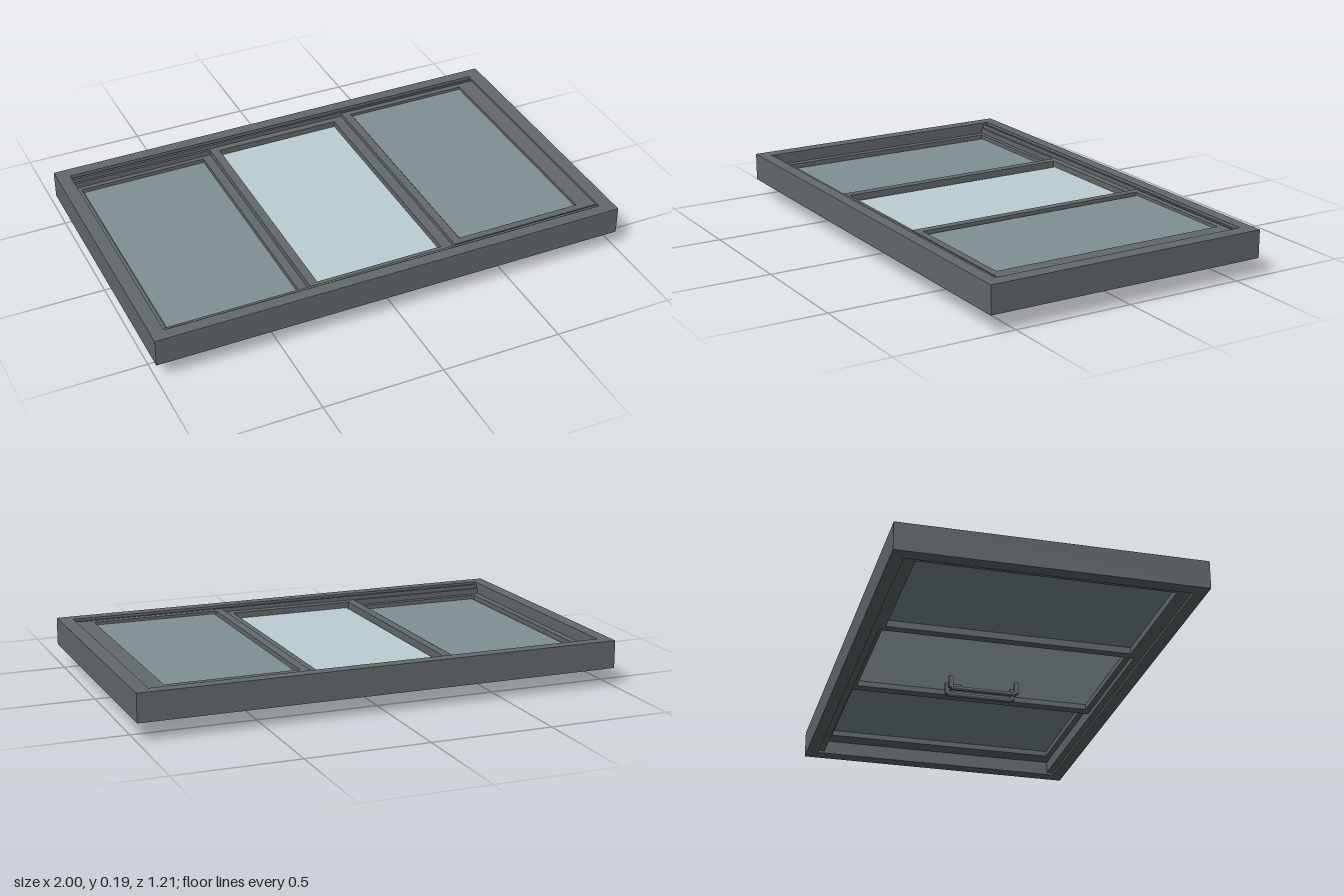
import * as THREE from 'three';

const frameMat = new THREE.MeshStandardMaterial({ color: 0x64696c });
const darkGlass = new THREE.MeshStandardMaterial({ color: 0x809094 });
const paleGlass = new THREE.MeshStandardMaterial({ color: 0xbccfd3 });

// Box given by its limits on each axis
function box(name, x0, x1, y0, y1, z0, z1, mat = frameMat) {
  const mesh = new THREE.Mesh(new THREE.BoxGeometry(x1 - x0, y1 - y0, z1 - z0), mat);
  mesh.position.set((x0 + x1) / 2, (y0 + y1) / 2, (z0 + z1) / 2);
  mesh.name = name;
  return mesh;
}

// Rectangular ring lying flat, with one opening
function ring(name, outer, inner, y0, y1) {
  const [ax, bx, az, bz] = outer;
  const [cx, dx, cz, dz] = inner;
  const shape = new THREE.Shape([[ax, -bz], [bx, -bz], [bx, -az], [ax, -az]].map(p => new THREE.Vector2(...p)));
  shape.holes.push(new THREE.Path([[cx, -dz], [cx, -cz], [dx, -cz], [dx, -dz]].map(p => new THREE.Vector2(...p))));
  const geo = new THREE.ExtrudeGeometry(shape, { depth: y1 - y0, bevelEnabled: false });
  geo.rotateX(-Math.PI / 2);
  const mesh = new THREE.Mesh(geo, frameMat);
  mesh.position.y = y0;
  mesh.name = name;
  return mesh;
}

export function createModel() {
  const model = new THREE.Group();
  model.name = 'slidingWindow';

  // Outer frame
  model.add(ring('outerFrame', [-1, 1, -0.605, 0.605], [-0.945, 0.94, -0.555, 0.555], 0.075, 0.19));

  // Track at front and back, with a raised guide ridge
  for (const s of [-1, 1]) {
    const track = new THREE.Group();
    track.name = s > 0 ? 'frontTrack' : 'backTrack';
    const base = box('trackBase', -0.945, 0.94, 0.085, 0.165, -0.015, 0.015);
    const ridge = box('trackRidge', -0.945, 0.94, 0.165, 0.182, -0.005, 0.005);
    track.add(base, ridge);
    track.position.z = s * 0.54;
    model.add(track);
  }

  // Three sashes stepping up from left to right, each with its pane
  const sashes = [
    { name: 'rightHandSash', x: [-0.945, -0.332], open: [-0.915, -0.37], y: [0.085, 0.142], pane: 0.125, mat: darkGlass },
    { name: 'middleSash', x: [-0.332, 0.29], open: [-0.295, 0.245], y: [0.105, 0.165], pane: 0.14, mat: paleGlass },
    { name: 'leftHandSash', x: [0.29, 0.94], open: [0.325, 0.865], y: [0.135, 0.182], pane: 0.17, mat: darkGlass },
  ];
  for (const { name, x, open, y, pane, mat } of sashes) {
    const sash = new THREE.Group();
    sash.name = name;
    sash.add(ring('sashFrame', [...x, -0.53, 0.53], [...open, -0.505, 0.5], ...y));
    // Pane leaves a narrow gap along one side
    sash.add(box('glassPane', open[0] + 0.009, open[1] + 0.005, pane - 0.012, pane, -0.507, 0.502, mat));
    model.add(sash);
  }

  // Pair of pull handles under the middle sash
  for (const [name, x] of [['rightHandle', -0.035], ['leftHandle', 0.03]]) {
    const handle = new THREE.Group();
    handle.name = name;
    const grip = new THREE.Mesh(new THREE.CylinderGeometry(0.009, 0.009, 0.275, 12), frameMat);
    grip.name = 'grip';
    grip.rotation.x = Math.PI / 2;
    grip.position.set(x, 0.009, -0.0275);
    handle.add(grip);
    handle.add(box('frontPost', x - 0.008, x + 0.008, 0.01, 0.06, 0.103, 0.121));
    handle.add(box('backPost', x - 0.008, x + 0.008, 0.01, 0.06, -0.174, -0.155));
    model.add(handle);
  }

  // Latch beside the left handle
  const latch = new THREE.Group();
  latch.name = 'latch';
  latch.add(box('latchArm', 0.022, 0.045, 0.036, 0.055, -0.165, -0.107));
  const knob = new THREE.Mesh(new THREE.CylinderGeometry(0.007, 0.007, 0.014, 12), frameMat);
  knob.name = 'latchKnob';
  knob.rotation.z = Math.PI / 2;
  knob.position.set(0.048, 0.044, -0.14);
  latch.add(knob);
  model.add(latch);

  return model;
}
